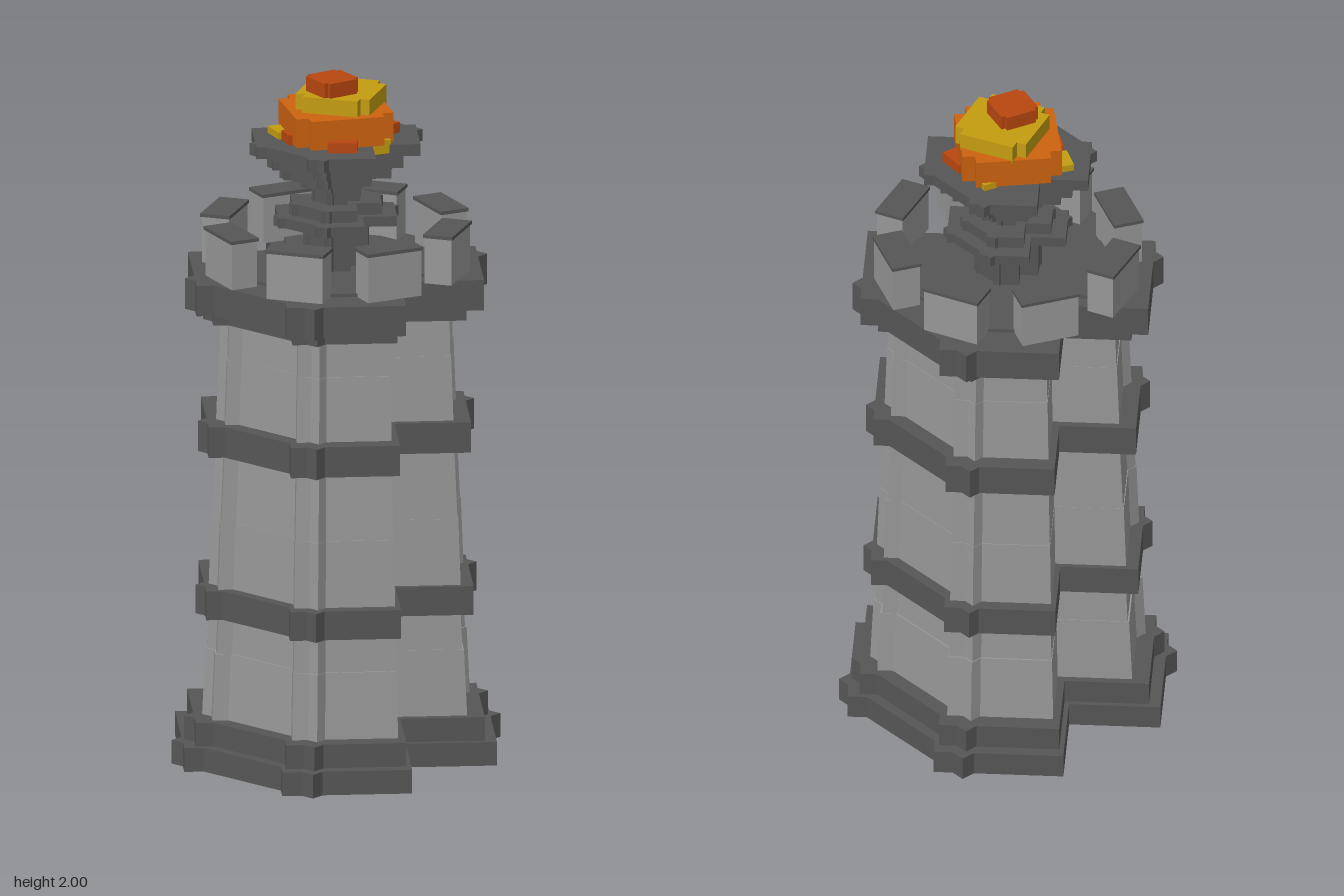
import * as THREE from 'three';

const material = (name, color) => {
  const m = new THREE.MeshStandardMaterial({ color });
  m.name = name;
  return m;
};

export function createModel() {
  const model = new THREE.Group();
  model.name = 'fireTower';
  const darkStone = material('dark stone', 0x565656);
  const lightStone = material('light stone', 0x979797);
  const orange = material('orange flame', 0xcc620f);
  const yellow = material('yellow flame', 0xc49c10);
  const red = material('red flame', 0xb8460f);

  // Tower plan: a cross with one diagonal block, half outline as [x, z], repeated by a half turn
  const half = [
    [-.185, -.445], [.07, -.445], [.1, -.475], [.13, -.445], [.185, -.445], [.185, -.39],
    [.39, -.185], [.445, -.185], [.445, -.13], [.475, -.1], [.445, -.07], [.445, .185], [.185, .185],
  ];
  const outline = [...half, ...half.map(([x, z]) => [-x, -z])];
  // drop the last point of each half where it would fold back on the next corner
  const plan = new THREE.Shape(outline.map(([x, z]) => new THREE.Vector2(x, -z)));

  // One tier of the plan from y0 to y1, scaled s0 at the bottom and s1 at the top
  function tier(name, mat, y0, y1, s0, s1 = s0) {
    const geo = new THREE.ExtrudeGeometry(plan, { depth: 1, bevelEnabled: false });
    geo.rotateX(-Math.PI / 2);
    const p = geo.attributes.position;
    for (let i = 0; i < p.count; i++) {
      const top = p.getY(i) > 0.5, s = top ? s1 : s0;
      p.setXYZ(i, p.getX(i) * s, top ? y1 : y0, p.getZ(i) * s);
    }
    geo.computeVertexNormals();
    const mesh = new THREE.Mesh(geo, mat);
    mesh.name = name;
    model.add(mesh);
  }

  function box(name, mat, size, pos, turn = 0, parent = model) {
    const mesh = new THREE.Mesh(new THREE.BoxGeometry(...size), mat);
    mesh.name = name;
    mesh.position.set(...pos);
    mesh.rotation.y = THREE.MathUtils.degToRad(turn);
    parent.add(mesh);
  }

  // Stepped base
  tier('baseLower', darkStone, 0, .07, 1);
  tier('baseUpper', darkStone, .07, .14, .925);

  // Tapering masonry courses
  [
    [.14, .335, .815, .795], [.335, .44, .785, .775],
    [.525, .72, .775, .76], [.72, .92, .755, .735],
    [1.01, 1.2, .73, .715], [1.2, 1.31, .71, .705],
  ].forEach(([y0, y1, s0, s1], i) => tier('shaftCourse' + (i + 1), lightStone, y0, y1, s0, s1));

  // Dark bands around the shaft
  tier('lowerBand', darkStone, .44, .525, .855);
  tier('upperBand', darkStone, .92, 1.01, .84);

  // Platform
  tier('platformCorbel', darkStone, 1.31, 1.345, .81);
  tier('platform', darkStone, 1.345, 1.435, .92);
  tier('platformStep', darkStone, 1.435, 1.445, .7);

  // Ring of eight battlements with dark caps
  for (let i = 0; i < 8; i++) {
    const deg = 22.5 + i * 45, a = THREE.MathUtils.degToRad(deg);
    const merlon = new THREE.Group();
    merlon.name = 'battlement' + (i + 1);
    merlon.position.set(Math.sin(a) * .333, 0, Math.cos(a) * .333);
    merlon.rotation.y = a;
    box('battlementBlock', lightStone, [.168, .135, .08], [0, 1.5025, 0], 0, merlon);
    box('battlementCap', darkStone, [.176, .01, .088], [0, 1.575, 0], 0, merlon);
    model.add(merlon);
  }

  // Brazier: stem and stepped bowl
  [
    [1.445, 1.57, .2], [1.57, 1.6, .38], [1.6, 1.635, .285], [1.635, 1.68, .15],
    [1.68, 1.71, .22], [1.71, 1.745, .345], [1.745, 1.785, .42], [1.785, 1.82, .525],
  ].forEach(([y0, y1, s], i) => tier('brazierStep' + (i + 1), darkStone, y0, y1, s));

  // Flame blocks: two crossed boxes give the notched corners
  function flame(name, mat, y0, y1, x, z, reach, arm, turn) {
    const g = new THREE.Group();
    g.name = name;
    g.position.set(x, (y0 + y1) / 2, z);
    g.rotation.y = THREE.MathUtils.degToRad(turn);
    box('flameLengthwise', mat, [reach * 2, y1 - y0, arm * 2], [0, 0, 0], 0, g);
    box('flameCrosswise', mat, [arm * 2, y1 - y0, reach * 2], [0, 0, 0], 0, g);
    model.add(g);
  }
  flame('flameLower', orange, 1.825, 1.91, 0, 0, .142, .107, 10);
  flame('flameMiddle', yellow, 1.9, 1.957, .015, -.01, .11, .082, -21);
  flame('flameTip', red, 1.95, 2, -.012, .015, .058, .046, 30);

  // Embers at the rim of the bowl
  box('emberRight', red, [.08, .03, .08], [.128, 1.835, -.03], 40);
  box('emberFront', red, [.085, .03, .08], [.01, 1.835, .135], -6);
  box('emberLeft', red, [.06, .03, .06], [-.12, 1.835, .05], 15);
  box('emberYellowLeft', yellow, [.06, .03, .075], [-.15, 1.825, -.022], 20);
  box('emberYellowBack', yellow, [.04, .04, .04], [.05, 1.82, -.14], 30);
  box('emberYellowFront', yellow, [.05, .04, .04], [.12, 1.815, .085], 20);

  return model;
}
